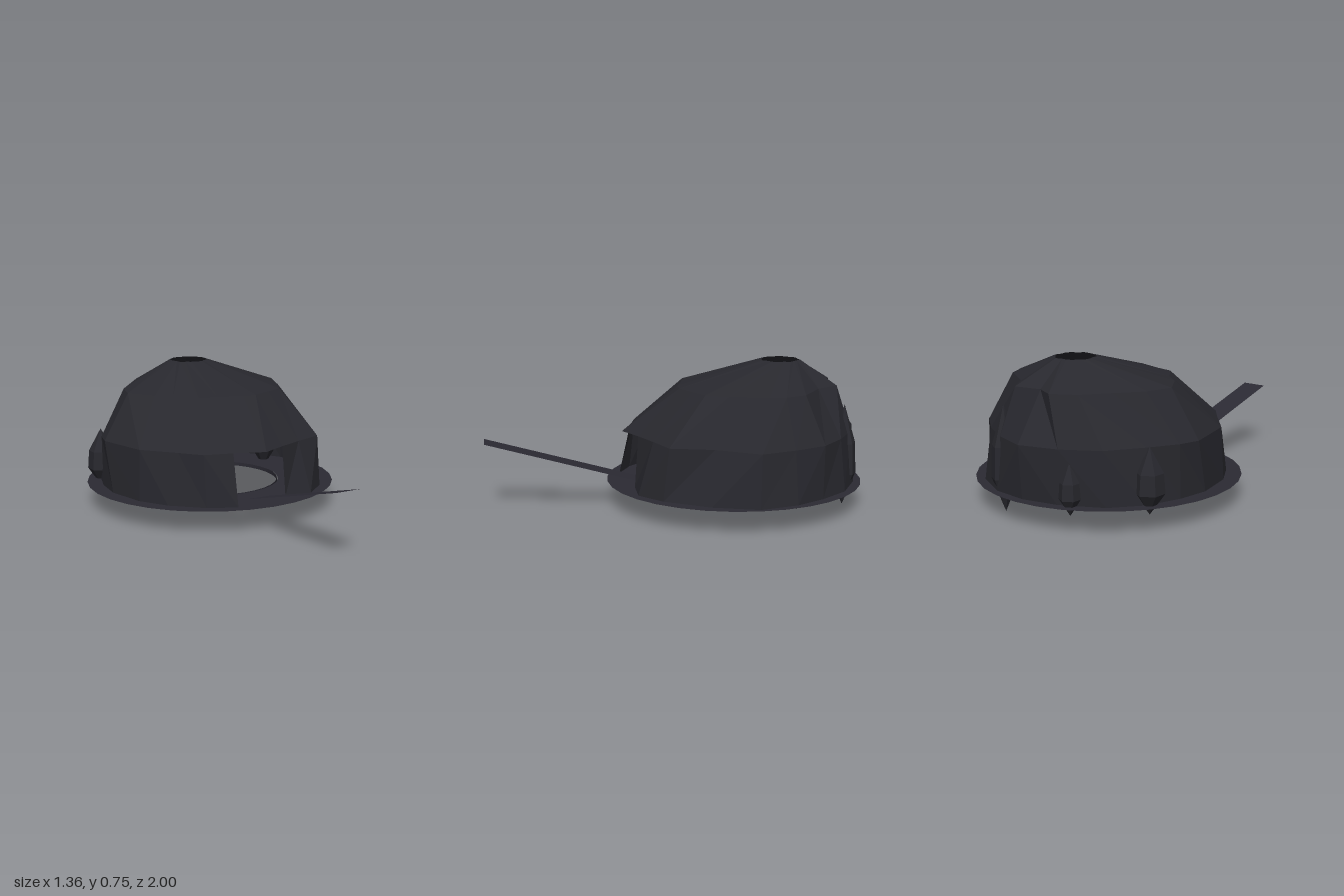
import * as THREE from 'three';

const FLOOR_Y = 0.12;

// Dome columns, starting at the front and turning toward +x.
// Each holds x, z at the foot, at the shoulder and at the roof edge.
const COLUMNS = [
  [0, 0.28, 0, 0.28, 0.03, -0.01],
  [0.15, 0.23, 0.14, 0.21, 0.11, -0.01],
  [0.31, 0.23, 0.28, 0.15, 0.22, -0.06],
  [0.44, 0.12, 0.44, 0.09, 0.32, -0.11],
  [0.58, -0.1, 0.5, -0.13, 0.38, -0.22],
  [0.655, -0.33, 0.63, -0.34, 0.455, -0.41],
  [0.6, -0.53, 0.57, -0.52, 0.44, -0.5],
  [0.51, -0.68, 0.49, -0.69, 0.39, -0.61],
  [0.38, -0.83, 0.35, -0.81, 0.22, -0.72],
  [0.19, -0.93, 0.18, -0.91, 0.14, -0.84],
  [0, -0.95, 0, -0.97, 0, -0.81],
  [-0.19, -0.91, -0.2, -0.91, -0.1, -0.86],
  [-0.4, -0.8, -0.38, -0.8, -0.22, -0.79],
  [-0.52, -0.65, -0.5, -0.62, -0.32, -0.66],
  [-0.58, -0.47, -0.58, -0.48, -0.42, -0.53],
  [-0.6, -0.3, -0.61, -0.37, -0.46, -0.39],
  [-0.55, -0.08, -0.54, -0.09, -0.37, -0.25],
  [-0.46, 0.07, -0.4, 0.07, -0.29, -0.19],
  [-0.31, 0.21, -0.31, 0.18, -0.2, -0.07],
  [-0.165, 0.28, -0.16, 0.22, -0.1, -0.05],
];

function domeGeometry() {
  const n = COLUMNS.length;
  const heights = [FLOOR_Y, 0.39, 0.63, 0.755];
  const point = (i, level) => {
    const c = i % n;
    if (level < 3) return [COLUMNS[c][level * 2], heights[level], COLUMNS[c][level * 2 + 1]];
    // Ragged smoke hole
    const a = (c / n) * Math.PI * 2;
    const r = 0.1 + 0.008 * Math.sin(c * 2.3);
    return [Math.sin(a) * r, heights[3], -0.565 + Math.cos(a) * r];
  };
  const positions = [];
  for (let level = 0; level < 3; level++) {
    for (let i = 0; i < n; i++) {
      // Entrance: the lowest band is open at the front
      if (level === 0 && (i === 0 || i === n - 1)) continue;
      const a = point(i, level), b = point(i + 1, level);
      const c = point(i + 1, level + 1), d = point(i, level + 1);
      // Split each left-hand panel the opposite way to the right-hand ones
      if (i < n / 2) positions.push(...a, ...b, ...c, ...a, ...c, ...d);
      else positions.push(...a, ...b, ...d, ...b, ...c, ...d);
    }
  }
  const g = new THREE.BufferGeometry();
  g.setAttribute('position', new THREE.Float32BufferAttribute(positions, 3));
  g.computeVertexNormals();
  return g;
}

// Faceted crystal pointed at both ends
function crystalGeometry(bottom, top, radius) {
  const h = top - bottom;
  const profile = [[0, 0], [radius, 0.32], [radius * 0.9, 0.62], [0, 1]]
    .map(([r, t]) => new THREE.Vector2(r, bottom + t * h));
  const g = new THREE.LatheGeometry(profile, 6).toNonIndexed();
  g.computeVertexNormals();
  return g;
}

export function createModel() {
  const group = new THREE.Group();
  const rock = new THREE.MeshStandardMaterial({ color: 0x28282e, side: THREE.DoubleSide });
  rock.name = 'dark rock';
  const stone = new THREE.MeshStandardMaterial({ color: 0x2b2a33, side: THREE.DoubleSide });
  stone.name = 'floor stone';

  const add = (name, geometry, material, x = 0, y = 0, z = 0) => {
    const mesh = new THREE.Mesh(geometry, material);
    mesh.name = name;
    mesh.position.set(x, y, z);
    group.add(mesh);
    return mesh;
  };

  add('caveDome', domeGeometry(), rock);

  // Flat floor ring with a shallow lip round the pit
  const floor = new THREE.RingGeometry(0.38, 0.68, 32).rotateX(-Math.PI / 2);
  add('floorRing', floor, stone, 0, FLOOR_Y, -0.32);
  const lip = new THREE.CylinderGeometry(0.382, 0.382, 0.022, 32, 1, true);
  add('pitLip', lip, stone, 0, FLOOR_Y - 0.011, -0.335);

  // Thin entrance ramp rising outward
  const start = new THREE.Vector2(0.2, 0.13), end = new THREE.Vector2(1, 0.355);
  const ramp = new THREE.PlaneGeometry(0.136, start.distanceTo(end)).rotateX(-Math.PI / 2);
  const rampMesh = add('entranceRamp', ramp, stone, 0, (start.y + end.y) / 2, (start.x + end.x) / 2);
  rampMesh.rotation.x = -Math.atan2(end.y - start.y, end.x - start.x);

  // Crystals round the back wall: x, z, bottom, top, radius
  [
    [-0.52, -0.63, 0.07, 0.4, 0.075],
    [-0.245, -0.88, 0.07, 0.33, 0.055],
    [0.195, -0.87, 0, 0.54, 0.07],
    [0.49, -0.55, 0.07, 0.41, 0.065],
  ].forEach(([x, z, bottom, top, r], i) =>
    add('crystal' + (i + 1), crystalGeometry(bottom, top, r), rock, x, 0, z));

  return group;
}
